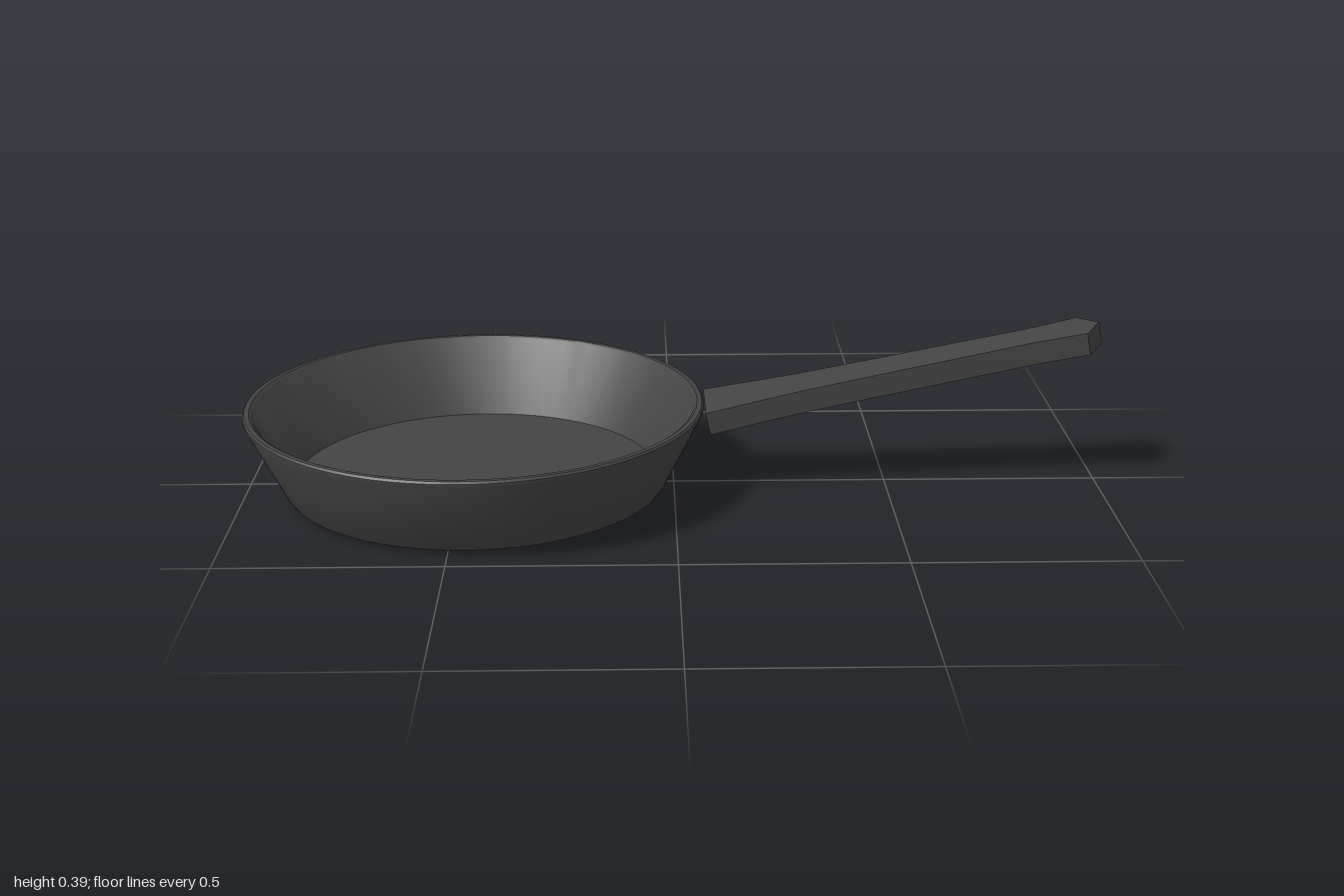
import * as THREE from 'three';
import { toCreasedNormals } from 'three/addons/utils/BufferGeometryUtils.js';

export function createModel() {
  const group = new THREE.Group();
  group.name = 'fryingPan';
  const iron = new THREE.MeshStandardMaterial({ color: 0x444444 });
  iron.name = 'dark iron';

  const add = (name, geometry) => {
    const mesh = new THREE.Mesh(toCreasedNormals(geometry, 0.5), iron);
    mesh.name = name;
    group.add(mesh);
    return mesh;
  };

  // Pan body: underside with ring grooves, sloped wall, rim, inner wall, floor
  const groove = (r) => [[r - 0.006, 0], [r - 0.006, 0.004], [r + 0.006, 0.004], [r + 0.006, 0]];
  const profile = [
    [0, 0], ...groove(0.166), ...groove(0.29),
    [0.395, 0], [0.4, 0.008], [0.43, 0.009], [0.443, 0.013], [0.452, 0.026],
    [0.535, 0.194], [0.535, 0.201], [0.531, 0.206], [0.52, 0.206],
    [0.513, 0.201], [0.425, 0.025], [0, 0.025],
  ].map(([r, y]) => new THREE.Vector2(r, y));
  add('panBody', new THREE.LatheGeometry(profile, 96)).position.x = -0.465;

  // Handle: mirrored outline with a waist and pointed tip, tilted upward
  const edge = [[0, 0.09], [0.06, 0.084], [0.14, 0.074], [0.23, 0.066], [0.42, 0.061],
    [0.78, 0.055], [0.895, 0.065]];
  const outline = [
    ...edge.map(([x, z]) => new THREE.Vector2(x, -z)),
    new THREE.Vector2(0.936, 0),
    ...edge.slice().reverse().map(([x, z]) => new THREE.Vector2(x, z)),
  ];
  const handle = new THREE.ExtrudeGeometry(new THREE.Shape(outline), { depth: 0.053, bevelEnabled: false });
  handle.rotateX(-Math.PI / 2).rotateZ(0.2025);
  add('handle', handle).position.set(0.083, 0.148, 0);

  return group;
}
